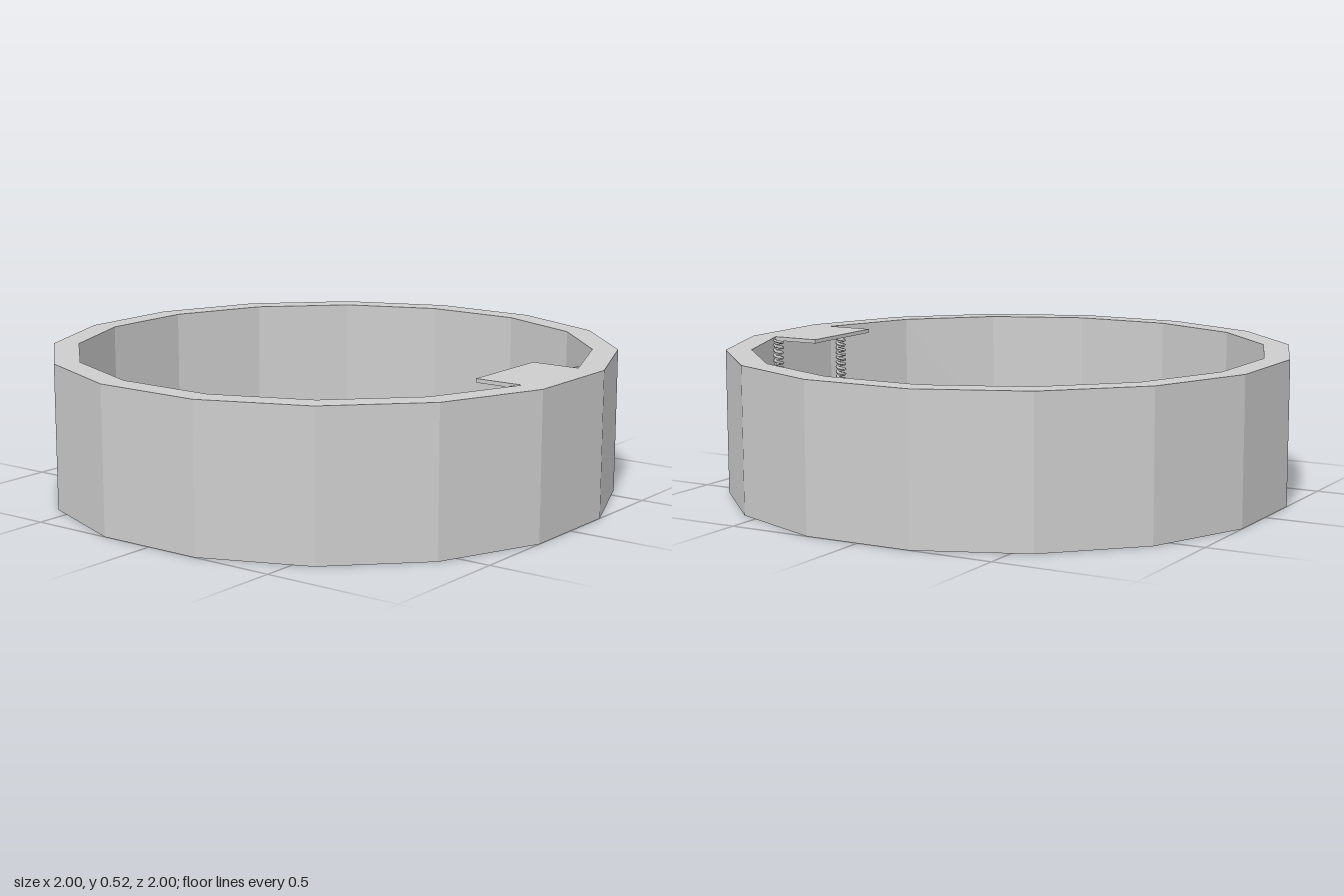
import * as THREE from 'three';

const HEIGHT = 0.52, RECESS = 0.05, FLOOR = 0.073;
const SIDES = 16, INNER = 0.91;
const K = 1 / Math.cos(Math.PI / SIDES); // flat distance to corner distance

const grey = new THREE.MeshStandardMaterial({ color: 0xcccccc });
grey.name = 'grey';

function part(name, geometry) {
  const mesh = new THREE.Mesh(geometry, grey);
  mesh.name = name;
  return mesh;
}

// Sixteen-sided tray: outer wall, rim, inner wall and recessed floor in one profile
function trayGeometry() {
  const profile = [[0, 0], [K, 0], [K, HEIGHT], [INNER * K, HEIGHT], [INNER * K, RECESS], [0, RECESS]]
    .map(([r, y]) => new THREE.Vector2(r, y));
  const g = new THREE.LatheGeometry(profile, SIDES, Math.PI / SIDES).toNonIndexed();
  g.computeVertexNormals();
  return g;
}

// Raised X on the floor, with rounded inner corners
function crossGeometry() {
  const shape = new THREE.Shape();
  const corners = [[0.545, 0.735], [0.035, 0.225], [0, 0.19], [-0.035, 0.225], [-0.545, 0.735], [-0.645, 0.64]];
  for (let i = 0; i < 4; i++) {
    const a = i * Math.PI / 2;
    const p = corners.map(([x, y]) => [x * Math.cos(a) - y * Math.sin(a), x * Math.sin(a) + y * Math.cos(a)]);
    if (i === 0) shape.moveTo(...p[0]);
    else shape.lineTo(...p[0]);
    shape.lineTo(...p[1]);
    shape.quadraticCurveTo(...p[2], ...p[3]);
    shape.lineTo(...p[4]);
    shape.lineTo(...p[5]);
  }
  const g = new THREE.ExtrudeGeometry(shape, { depth: FLOOR - RECESS + 0.01, bevelEnabled: false, curveSegments: 6 });
  g.rotateX(-Math.PI / 2);
  g.translate(0, RECESS - 0.01, 0);
  return g;
}

// Tight coil standing on the floor beside the ledge
class Coil extends THREE.Curve {
  getPoint(t, target = new THREE.Vector3()) {
    const a = t * 24 * Math.PI * 2;
    return target.set(Math.cos(a) * 0.015, RECESS + 0.006 + t * (HEIGHT - RECESS - 0.012), Math.sin(a) * 0.015);
  }
}

export function createModel() {
  const model = new THREE.Group();
  model.name = 'roundTray';
  model.add(part('tray', trayGeometry()));
  model.add(part('floorCross', crossGeometry()));

  // Thin ledge flush with the rim
  const ledge = part('ledge', new THREE.BoxGeometry(0.185, 0.014, 0.362));
  ledge.position.set(0.8225, HEIGHT - 0.007, 0);
  model.add(ledge);

  // Coils at both ends of the ledge
  const coil = new THREE.TubeGeometry(new Coil(), 24 * 8, 0.006, 4, false);
  for (const side of [-1, 1]) {
    const spring = part(side > 0 ? 'frontCoil' : 'backCoil', coil);
    spring.position.set(0.88, 0, side * 0.205);
    model.add(spring);
  }
  return model;
}
